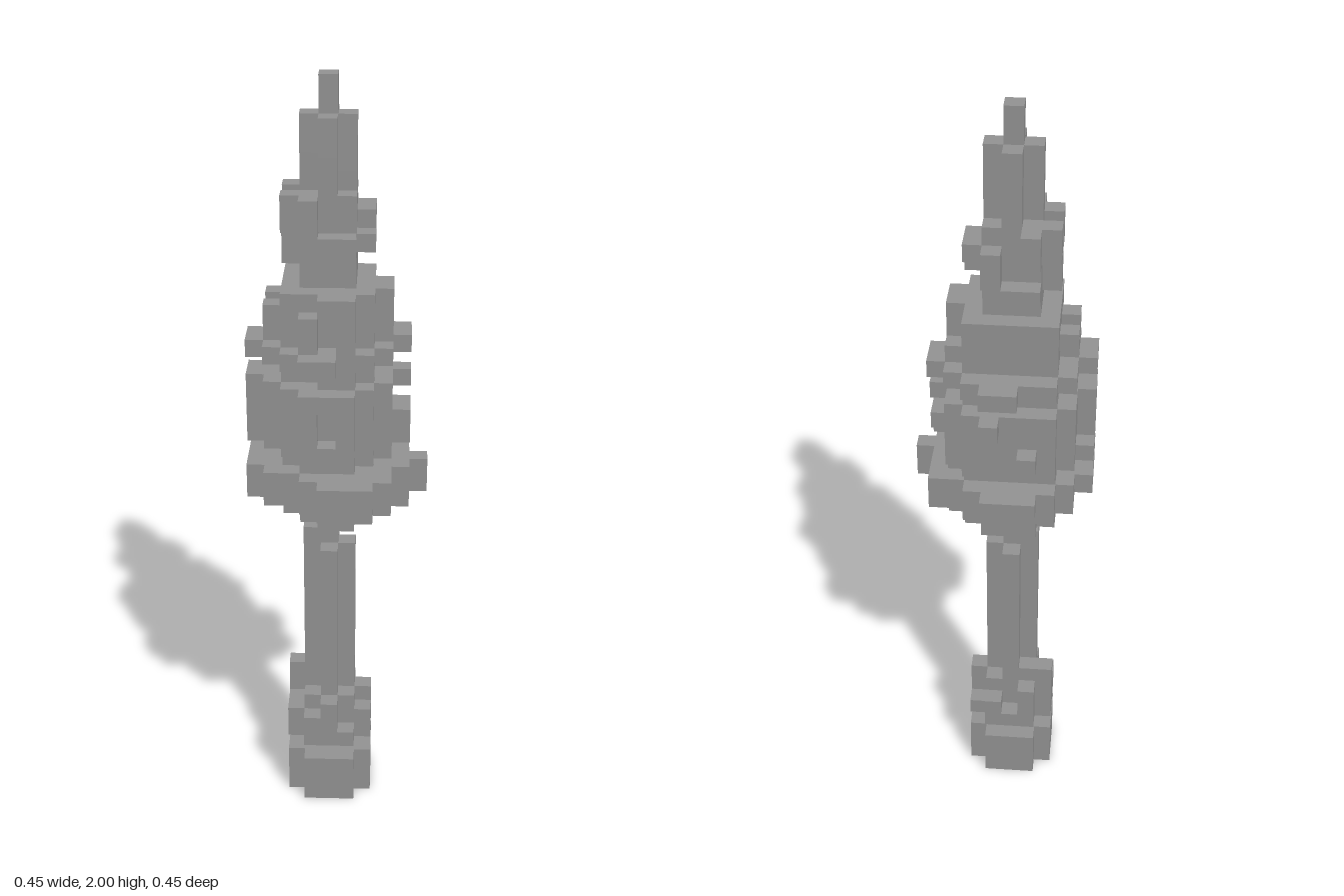
import * as THREE from 'three';
import { mergeGeometries } from 'three/addons/utils/BufferGeometryUtils.js';

const U = 2 / 44; // voxel edge

const grey = new THREE.MeshStandardMaterial({ color: 0x929292 });
grey.name = 'grey';

const key = (x, y, z) => `${x},${y},${z}`;

// The six cube faces: outward direction and how a +z plane is turned to face it
const FACES = [
  [1, 0, 0, 0, Math.PI / 2], [-1, 0, 0, 0, -Math.PI / 2],
  [0, 1, 0, -Math.PI / 2, 0], [0, -1, 0, Math.PI / 2, 0],
  [0, 0, 1, 0, 0], [0, 0, -1, 0, Math.PI],
];

// Collects voxels; discs are centred on the trunk column at cell (-1, -1)
class Voxels {
  cells = new Map();
  box(x0, x1, y0, y1, z0, z1) {
    for (let x = x0; x < x1; x++)
      for (let y = y0; y < y1; y++)
        for (let z = z0; z < z1; z++) this.cells.set(key(x, y, z), [x, y, z]);
    return this;
  }
  disc(y0, y1, r2) {
    for (let i = -5; i <= 5; i++)
      for (let k = -5; k <= 5; k++)
        if (i * i + k * k <= r2) this.box(i - 1, i, y0, y1, k - 1, k);
    return this;
  }
  bumps(list) {
    list.forEach((b) => this.box(...b));
    return this;
  }
  // Only outer faces are built
  mesh(name, solid) {
    const quads = [];
    for (const [x, y, z] of this.cells.values())
      for (const [dx, dy, dz, rx, ry] of FACES) {
        if (solid.has(key(x + dx, y + dy, z + dz))) continue;
        quads.push(new THREE.PlaneGeometry(U, U).rotateX(rx).rotateY(ry).translate(
          (x + 0.5 + dx / 2) * U, (y + 0.5 + dy / 2) * U, (z + 0.5 + dz / 2) * U));
      }
    const mesh = new THREE.Mesh(mergeGeometries(quads), grey);
    mesh.name = name;
    return mesh;
  }
}

export function createModel() {
  const parts = {
    // Separate round foot
    base: new Voxels().disc(0, 3, 5),

    // Uneven root flare
    rootCollar: new Voxels().disc(4, 5, 5).disc(5, 7, 2).bumps([
      [-3, -2, 5, 8, -2, -1], [-3, -2, 5, 6, -1, 1],
      [1, 2, 5, 7, -1, 0], [1, 2, 5, 6, 0, 1],
      [-1, 0, 5, 7, 1, 2], [-2, -1, 5, 6, 1, 2],
      [-2, -1, 5, 7, -3, -2], [0, 1, 5, 6, -3, -2], [-2, -1, 7, 8, -2, -1],
    ]),

    // Cross-section is a plus, with the core running up into the foliage
    trunk: new Voxels().disc(7, 17, 1).box(-2, -1, 17, 18, -1, 0).box(-1, 0, 17, 20, -1, 0),

    // Widest skirt of the crown
    lowerFoliage: new Voxels().disc(20, 21, 8).disc(21, 22, 13).disc(22, 23, 17)
      .disc(23, 24, 8).bumps([
        [2, 3, 20, 21, -2, 2], [3, 4, 20, 21, -1, 1], [-2, 2, 20, 21, 2, 3],
        [-1, 1, 20, 21, 3, 4], [-2, 1, 20, 21, -4, -3],
        [-5, -4, 21, 23, -1, 2], [4, 5, 21, 23, 0, 1], [3, 4, 21, 23, -3, 2],
        [-1, 2, 21, 23, 4, 5], [-2, 3, 21, 23, 3, 4], [-4, 3, 21, 23, 2, 3],
        [2, 3, 23, 24, -2, 1], [-2, 1, 23, 24, 2, 3],
      ]),

    // Middle tier with a framed notch on the front
    middleFoliage: new Voxels().disc(24, 28, 13).disc(28, 29, 8).bumps([
      [-2, -1, 24, 28, 3, 4], [0, 1, 24, 28, 3, 4],
      [-1, 0, 24, 25, 3, 4], [-1, 0, 27, 28, 3, 4],
      [-5, -4, 24, 28, 0, 1], [-5, -4, 24, 25, -2, -1], [-5, -4, 27, 28, -1, 0],
      [3, 4, 24, 26, 0, 1], [3, 4, 25, 26, -1, 0], [3, 4, 27, 28, -1, 0],
      [-2, -1, 25, 26, -5, -4], [0, 1, 27, 28, -5, -4],
      [-1, 1, 28, 29, 2, 3],
    ]),

    // Blocky upper tier above a thin ledge, smooth behind and knobbly in front
    upperFoliage: new Voxels().disc(29, 30, 13).disc(30, 33, 8).bumps([
      [-5, -4, 29, 30, -1, 1], [3, 4, 29, 30, -2, 0], [-2, 0, 29, 30, 3, 4],
      [-1, 1, 29, 30, -5, -4],
      [-4, -3, 30, 32, 0, 1], [-4, -3, 30, 31, -1, 0], [-4, -3, 31, 32, -2, -1],
      [2, 3, 30, 33, -1, 1], [2, 3, 30, 31, -2, -1],
      [-1, 1, 32, 33, 2, 3], [-2, -1, 31, 32, 2, 3], [0, 1, 30, 32, 2, 3],
      [-2, -1, 30, 31, 2, 3],
    ]),

    // Ragged neck below the tip
    crown: new Voxels().disc(33, 38, 2).bumps([
      [-3, -2, 34, 36, -1, 0], [-3, -2, 36, 38, 0, 1], [-3, -2, 36, 38, -2, -1],
      [1, 2, 35, 37, -1, 0], [1, 2, 35, 36, 0, 1], [1, 2, 36, 37, -2, -1],
      [-1, 0, 35, 36, 1, 2], [-2, -1, 35, 38, 1, 2], [0, 1, 35, 36, 1, 2],
      [-2, 0, 34, 35, -3, -2], [0, 1, 35, 37, -3, -2], [-2, -1, 36, 38, -3, -2],
    ]),

    // Plus-shaped spire and single top block
    tip: new Voxels().disc(38, 42, 1).disc(42, 44, 0),
  };

  const solid = new Set(Object.values(parts).flatMap((p) => [...p.cells.keys()]));
  const group = new THREE.Group();
  group.name = 'voxelTree';
  for (const [name, part] of Object.entries(parts)) group.add(part.mesh(name, solid));
  return group;
}
